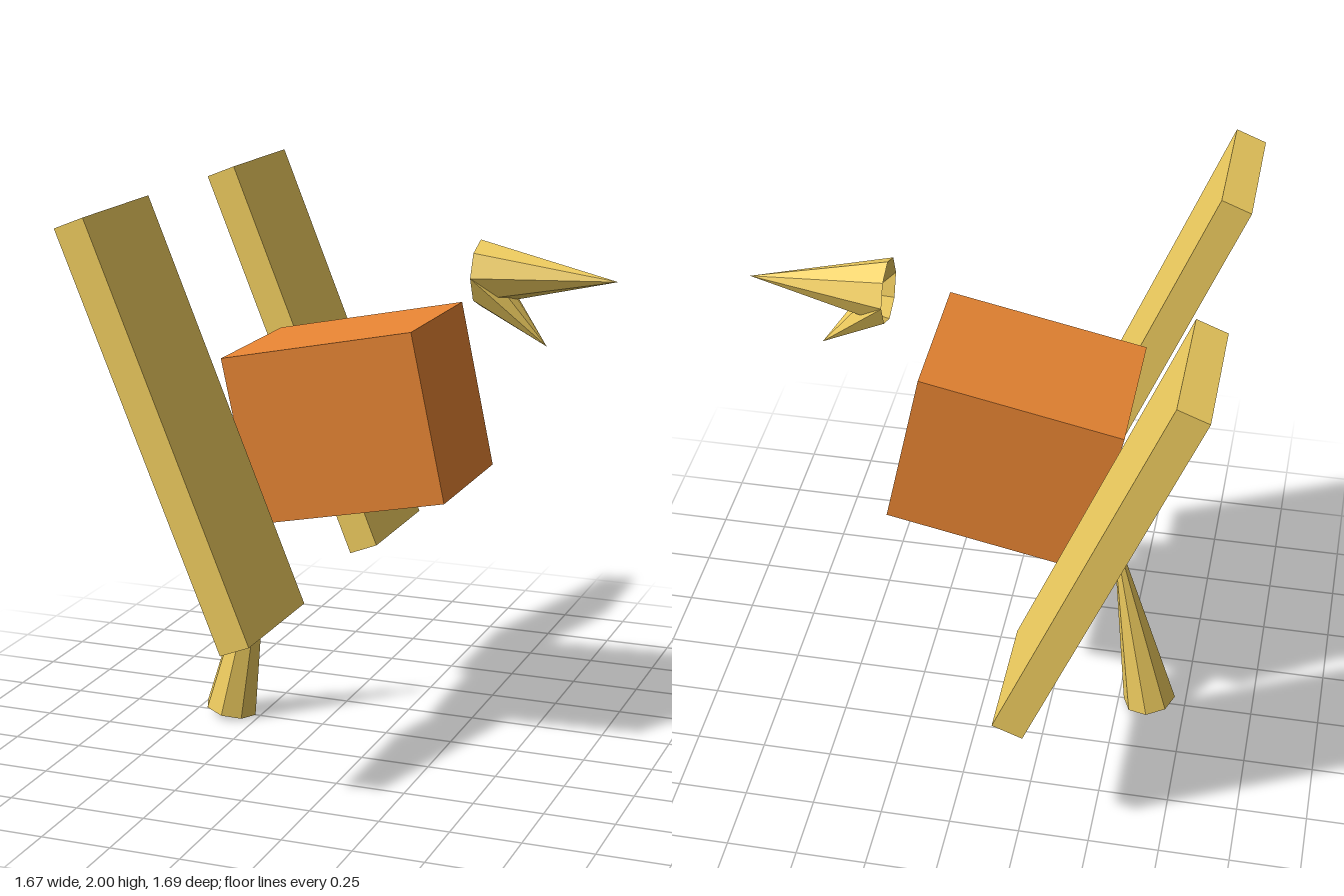
import * as THREE from 'three';

const yellow = new THREE.MeshStandardMaterial({ color: 0xf2cf60, flatShading: true });
const yellowOpen = new THREE.MeshStandardMaterial({ color: 0xf2cf60, flatShading: true, side: THREE.DoubleSide });
const orange = new THREE.MeshStandardMaterial({ color: 0xe88533, flatShading: true });

function add(group, name, geometry, material, x, y, z, tilt = 0) {
  const mesh = new THREE.Mesh(geometry, material);
  mesh.name = name;
  mesh.position.set(x, y, z);
  mesh.rotation.z = tilt;
  group.add(mesh);
  return mesh;
}

// Eight-sided hollow cone with its rim at x = 0 and its tip at (length, -drop)
function beakCone(length, drop) {
  const geometry = new THREE.ConeGeometry(0.115, length, 8, 1, true);
  geometry.rotateZ(-Math.PI / 2).translate(length / 2, 0, 0);
  const p = geometry.attributes.position;
  for (let i = 0; i < p.count; i++) p.setY(i, p.getY(i) - drop * p.getX(i) / length);
  geometry.computeVertexNormals();
  return geometry;
}

export function createModel() {
  const model = new THREE.Group();
  model.name = 'bird';

  // Tilted block body
  add(model, 'body', new THREE.BoxGeometry(0.715, 0.602, 0.545), orange, -0.1, 1.208, 0, 0.204);

  // Mirrored slab wings, leaning back
  for (const side of [1, -1]) {
    add(model, side > 0 ? 'frontWing' : 'backWing',
      new THREE.BoxGeometry(0.113, 1.508, 0.487), yellow, -0.503, 1.28, side * 0.604, 0.38);
  }

  // Two beak halves share one rim; the lower one is slanted down
  add(model, 'upperBeak', beakCone(0.485, 0), yellowOpen, 0.345, 1.74, 0);
  add(model, 'lowerBeak', beakCone(0.24, 0.24), yellowOpen, 0.345, 1.74, 0);

  // Tail cone, widening toward the ground
  add(model, 'tail', new THREE.ConeGeometry(0.098, 0.832, 8), yellow, -0.533, 0.433, 0, -0.2);

  return model;
}
